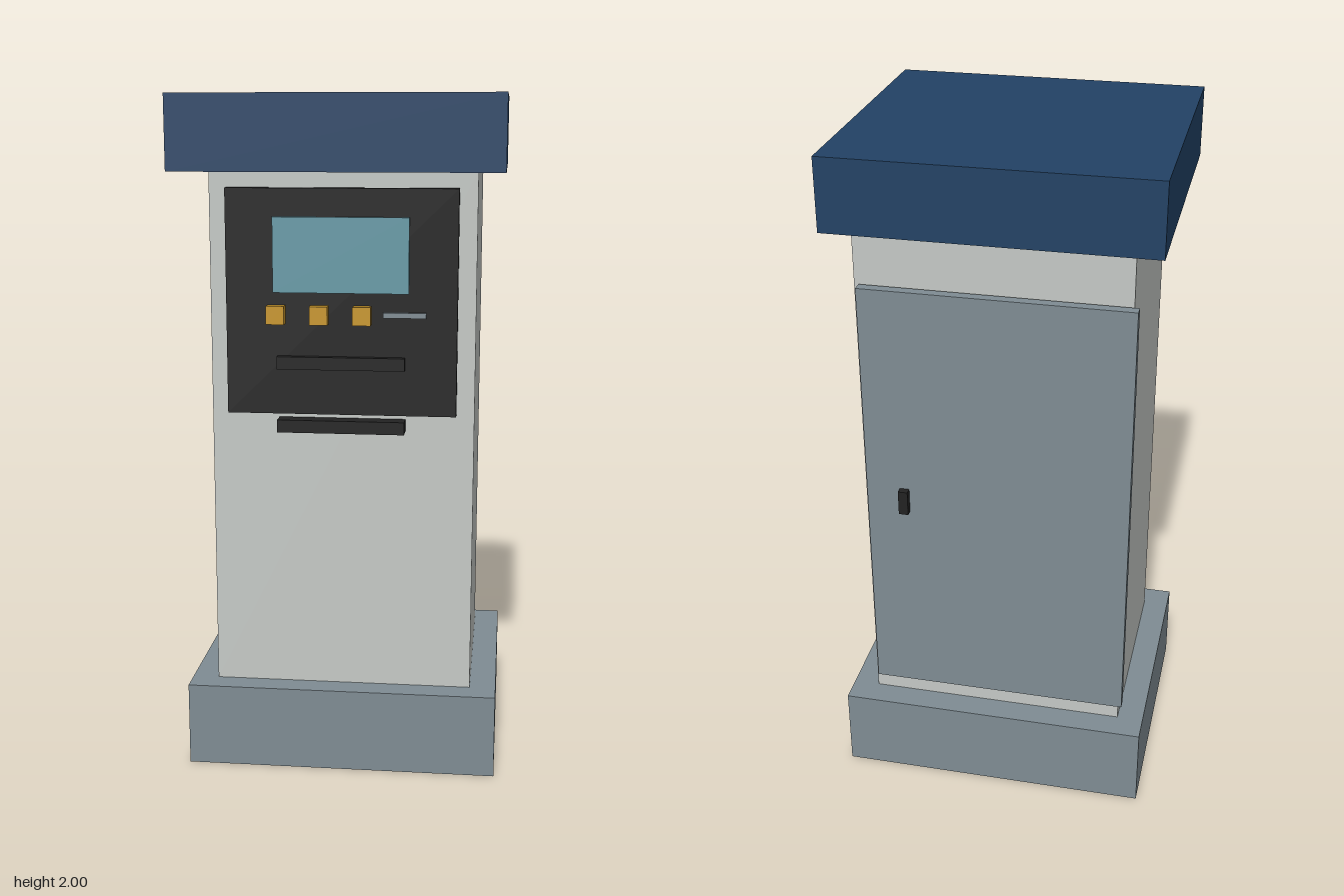
import * as THREE from 'three';

const paint = (name, color) => {
  const m = new THREE.MeshStandardMaterial({ color });
  m.name = name;
  return m;
};

export function createModel() {
  const model = new THREE.Group();
  model.name = 'paymentKiosk';

  const navy = paint('navy roof', 0x224265);
  const shell = paint('pale grey shell', 0xc5c9c6);
  const slate = paint('slate grey', 0x7f8c93);
  const black = paint('black', 0x222222);
  const glass = paint('screen blue', 0x6699a6);
  const amber = paint('amber', 0xc8962a);

  // Box given by its extents along x, y and z
  const block = (name, mat, [x0, x1], [y0, y1], [z0, z1]) => {
    const mesh = new THREE.Mesh(new THREE.BoxGeometry(x1 - x0, y1 - y0, z1 - z0), mat);
    mesh.position.set((x0 + x1) / 2, (y0 + y1) / 2, (z0 + z1) / 2);
    mesh.name = name;
    model.add(mesh);
  };

  // Cabinet
  block('base', slate, [-0.463, 0.463], [0, 0.25], [-0.45, 0.325]);
  block('body', shell, [-0.385, 0.385], [0.25, 1.79], [-0.372, 0.25]);
  block('roof', navy, [-0.463, 0.463], [1.79, 2], [-0.418, 0.45]);

  // Front control panel
  block('controlPanel', black, [-0.333, 0.333], [1.09, 1.74], [0.248, 0.285]);
  block('screen', glass, [-0.195, 0.195], [1.445, 1.66], [0.283, 0.3]);
  for (const x of [-0.187, -0.062, 0.062]) {
    block('button', amber, [x - 0.026, x + 0.026], [1.355, 1.408], [0.285, 0.317]);
  }
  block('cardSlot', slate, [0.122, 0.245], [1.376, 1.391], [0.284, 0.3]);
  block('ticketSlot', black, [-0.185, 0.185], [1.224, 1.261], [0.282, 0.307]);
  block('tray', black, [-0.185, 0.185], [1.038, 1.075], [0.257, 0.307]);

  // Rear service door, hung slightly off the body
  block('serviceDoor', slate, [-0.4, 0.37], [0.322, 1.636], [-0.41, -0.38]);
  block('doorHandle', black, [0.243, 0.271], [0.943, 1.018], [-0.431, -0.405]);

  return model;
}
